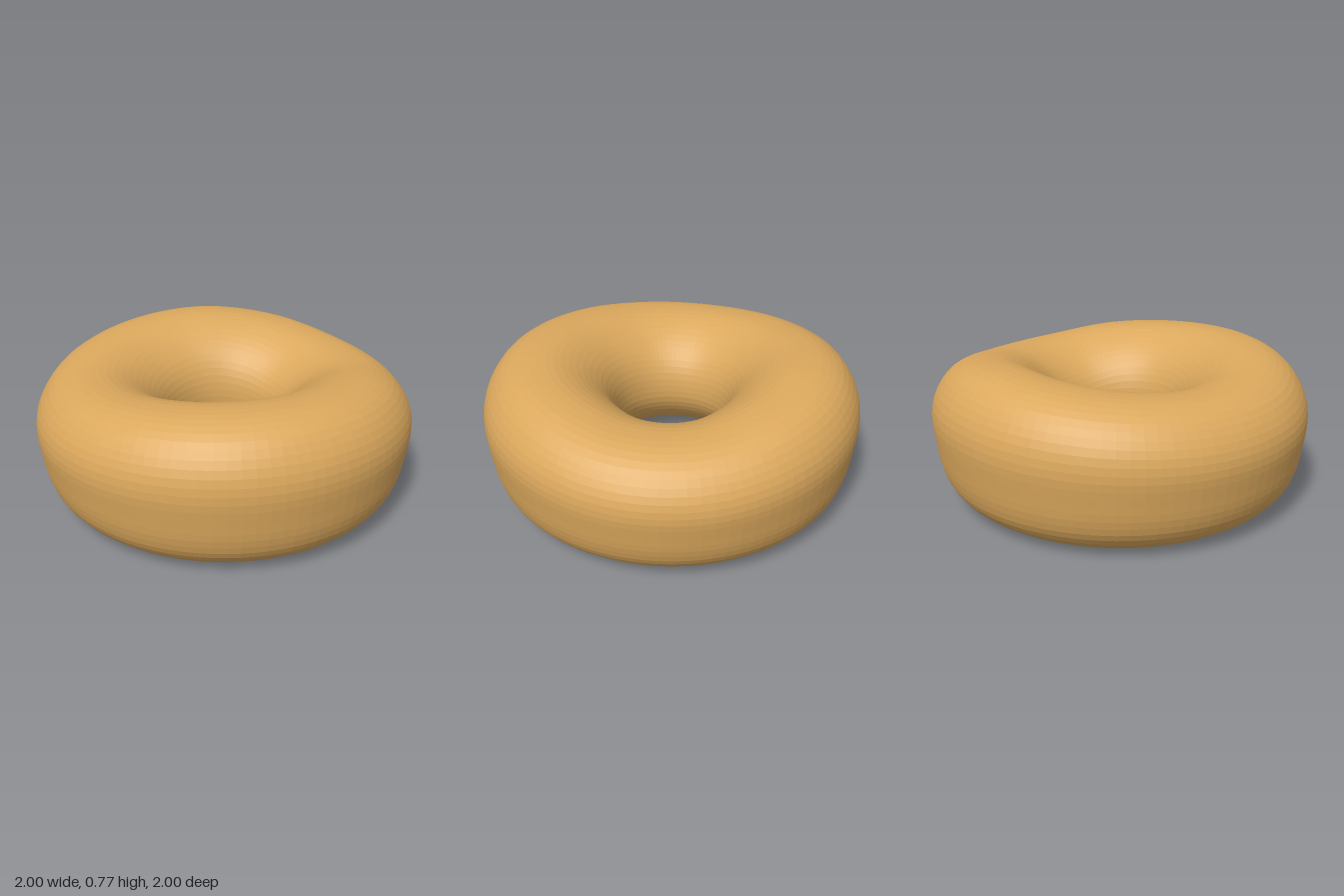
import * as THREE from 'three';

// Closed cross-section of the ring: [radius, height], throat -> underside -> outside -> top
const SECTION = [
  [0.3, 0.37], [0.308, 0.29], [0.345, 0.21], [0.42, 0.125], [0.52, 0.055], [0.62, 0.014],
  [0.72, 0], [0.8, 0.015], [0.88, 0.062], [0.94, 0.135], [0.97, 0.22], [0.986, 0.32],
  [1, 0.46], [0.987, 0.55], [0.95, 0.63], [0.89, 0.7], [0.8, 0.747], [0.7, 0.76],
  [0.61, 0.752], [0.52, 0.718], [0.43, 0.655], [0.36, 0.575], [0.316, 0.48],
];

// Crest height every 30 degrees, from +x round through the front (+z)
const CREST = [0.757, 0.765, 0.748, 0.718, 0.708, 0.73, 0.76, 0.772, 0.737, 0.685, 0.685, 0.732];

function crestAt(angle) {
  const n = CREST.length;
  const t = ((angle / (2 * Math.PI)) * n + n) % n;
  const i = Math.floor(t), f = t - i;
  const [a, b, c, d] = [-1, 0, 1, 2].map((k) => CREST[(i + k + n) % n]);
  return b + 0.5 * f * (c - a + f * (2 * a - 5 * b + 4 * c - d + f * (3 * (b - c) + d - a)));
}

export function createModel() {
  const model = new THREE.Group();
  model.name = 'ring';

  const dough = new THREE.MeshStandardMaterial({ color: 0xdba85d, flatShading: true });
  dough.name = 'golden dough';

  // Smooth the section, then spin it
  const curve = new THREE.CatmullRomCurve3(
    SECTION.map(([r, y]) => new THREE.Vector3(r, y, 0)), true, 'centripetal');
  const profile = curve.getSpacedPoints(56).map((p) => new THREE.Vector2(p.x, Math.max(0, p.y)));
  const geometry = new THREE.LatheGeometry(profile, 96);

  // Let the top undulate while the base stays flat
  const pos = geometry.attributes.position;
  for (let i = 0; i < pos.count; i++) {
    const y = pos.getY(i);
    const lift = crestAt(Math.atan2(pos.getZ(i), pos.getX(i))) - 0.76;
    pos.setY(i, y + lift * THREE.MathUtils.smoothstep(y, 0.1, 0.76));
  }
  geometry.computeVertexNormals();

  const ring = new THREE.Mesh(geometry, dough);
  ring.name = 'doughRing';
  model.add(ring);
  return model;
}
